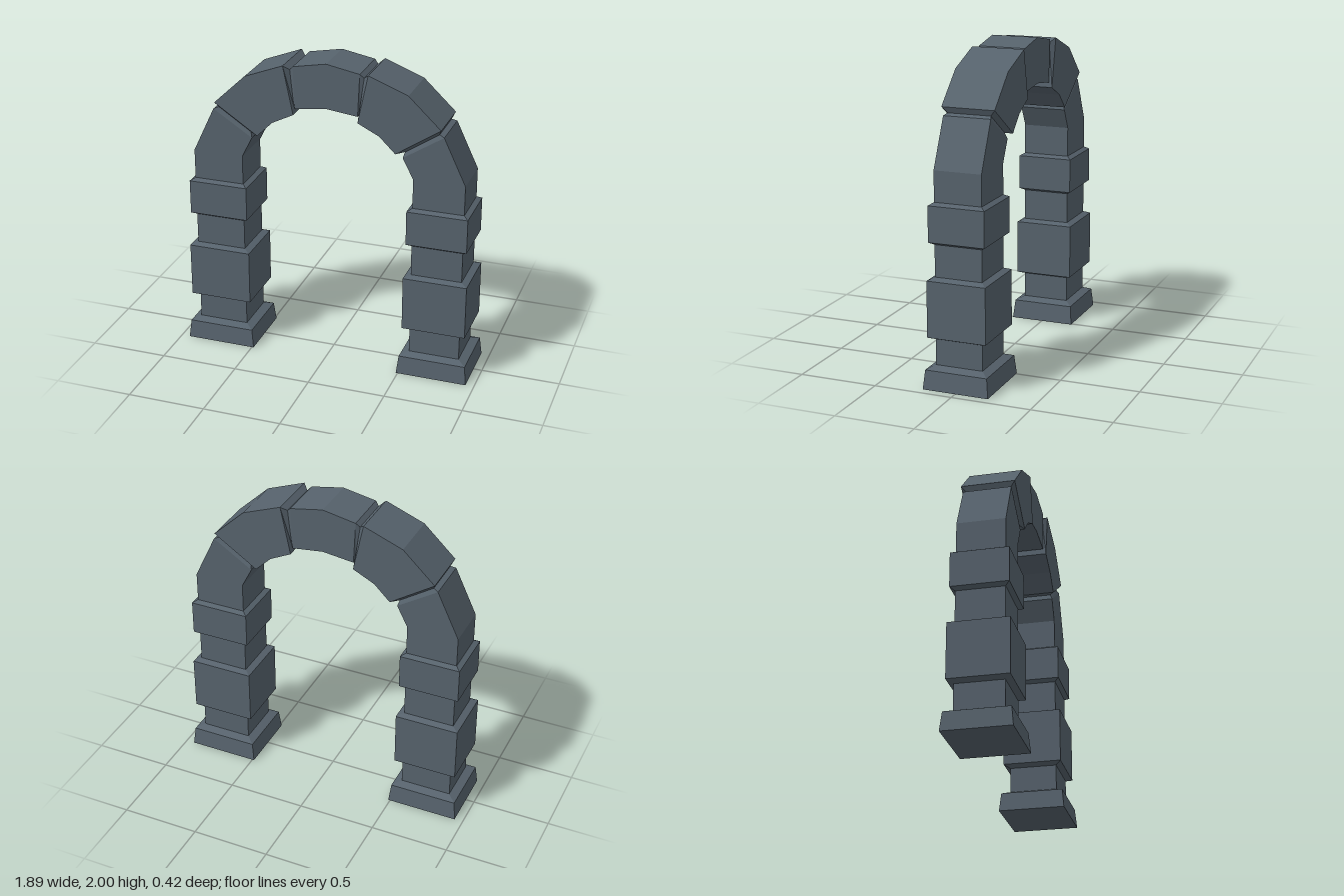
import * as THREE from 'three';

const material = new THREE.MeshStandardMaterial({ color: 0x56626c, flatShading: true });

// Cross-section: outer edge (ox, oy), inner edge (ix, iy), half depth d
const S = (ox, oy, ix, iy, d) => ({ ox, oy, ix, iy, d });
// Level cross-section of a pillar, grown by g in x and e in z
const level = (y, g = 0, e = g) => S(0.88 + g, y, 0.555 - g, y, 0.15 + e);
const mirror = list => list.map(s => S(-s.ox, s.oy, -s.ix, s.iy, s.d)).reverse();

// Joins rectangular cross-sections into one stone; 'start' or 'end' closes a foot
function stone(name, sections, cap) {
  const rings = sections.map(s => [
    [s.ox, s.oy, s.d], [s.ox, s.oy, -s.d], [s.ix, s.iy, -s.d], [s.ix, s.iy, s.d],
  ]);
  const pos = [];
  const quad = (a, b, c, d) => pos.push(...a, ...b, ...c, ...a, ...c, ...d);
  for (let k = 0; k < rings.length - 1; k++) {
    for (let i = 0; i < 4; i++) {
      const j = (i + 1) % 4;
      quad(rings[k][i], rings[k][j], rings[k + 1][j], rings[k + 1][i]);
    }
  }
  if (cap === 'start') quad(...[...rings[0]].reverse());
  if (cap === 'end') quad(...rings[rings.length - 1]);
  const geometry = new THREE.BufferGeometry();
  geometry.setAttribute('position', new THREE.Float32BufferAttribute(pos, 3));
  geometry.computeVertexNormals();
  const mesh = new THREE.Mesh(geometry, material);
  mesh.name = name;
  return mesh;
}

// Wide pillar block with bevelled top and bottom
const block = (y0, y1, g, e) =>
  [level(y0), level(y0 + 0.017, g, e), level(y1 - 0.017, g, e), level(y1)];

export function createModel() {
  const group = new THREE.Group();
  group.name = 'archway';

  // Grooves between the arch stones
  const springer = S(0.74, 1.625, 0.487, 1.462, 0.15);
  const lowGroove = S(0.708, 1.637, 0.497, 1.497, 0.137);
  const highGroove = S(0.236, 1.935, 0.212, 1.705, 0.137);
  const keyEdge = S(0.212, 1.96, 0.2, 1.69, 0.15);

  // One side of the arch, from the ground up
  const side = {
    base: [S(0.945, 0, 0.488, 0, 0.21), S(0.932, 0.12, 0.502, 0.12, 0.198), level(0.142)],
    lowerShaft: [level(0.142), level(0.303)],
    largeBlock: block(0.303, 0.687, 0.041, 0.037),
    middleShaft: [level(0.687), level(0.885)],
    smallBlock: block(0.885, 1.14, 0.03, 0.028),
    springerStone: [level(1.14), level(1.33), springer, lowGroove],
    archStone: [
      lowGroove,
      S(0.725, 1.674, 0.445, 1.488, 0.168),
      S(0.52, 1.868, 0.343, 1.588, 0.168),
      S(0.27, 1.964, 0.206, 1.656, 0.168),
      highGroove,
    ],
  };
  for (const [name, sections] of Object.entries(side)) {
    const foot = name === 'base';
    group.add(stone(name + 'Left', sections, foot && 'start'));
    group.add(stone(name + 'Right', mirror(sections), foot && 'end'));
  }

  // Keystone over the middle
  const half = [highGroove, keyEdge];
  group.add(stone('keystone', [...half, S(0, 2, 0, 1.715, 0.15), ...mirror(half)]));
  return group;
}
